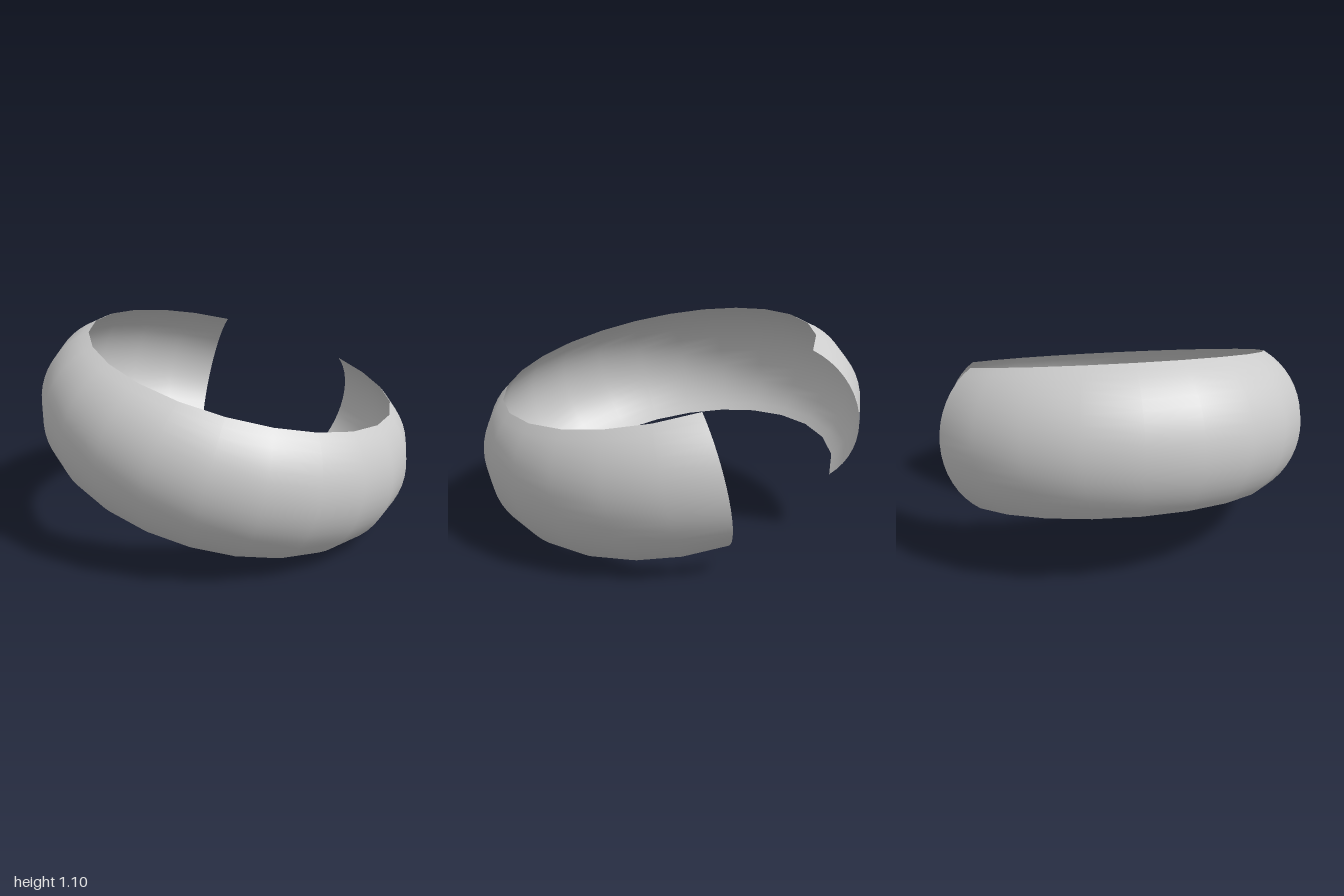
import * as THREE from 'three';

export function createModel() {
  const group = new THREE.Group();
  group.name = 'cuffBracelet';
  const rad = THREE.MathUtils.degToRad;

  // Bowed cross-section: a circular arc bulging outwards
  const ringRadius = 0.605, bulge = 0.415, halfArc = rad(56.5), steps = 16;
  const profile = [];
  for (let i = 0; i <= steps; i++) {
    const a = -halfArc + (2 * halfArc * i) / steps;
    profile.push(new THREE.Vector2(ringRadius + bulge * Math.cos(a), bulge * Math.sin(a)));
  }

  // Open band swept around the wrist, with the gap at the back
  const sweep = rad(306);
  const band = new THREE.Mesh(
    new THREE.LatheGeometry(profile, 20, -sweep / 2, sweep),
    new THREE.MeshStandardMaterial({ color: 0xcccccc, side: THREE.DoubleSide })
  );
  band.name = 'band';
  band.rotation.z = rad(-15);
  band.position.set(0, 0.551, -0.056);
  group.add(band);

  return group;
}
